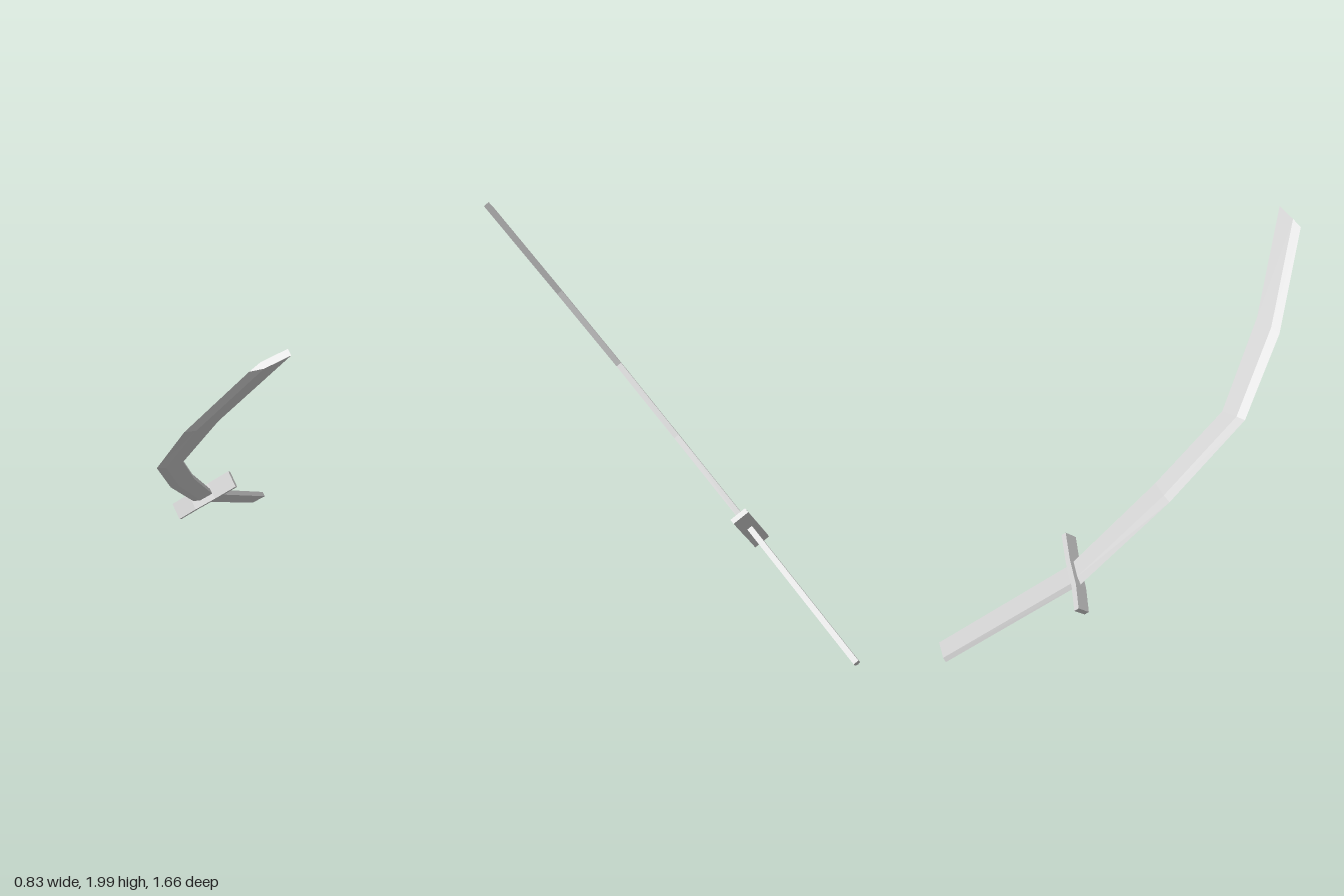
import * as THREE from 'three';

const material = new THREE.MeshStandardMaterial({ color: 0xcccccc, flatShading: true });

// Loft a wedge section (thick spine, two ridges, thin edge) through stations.
// Each station: [edgeX, edgeY, spineX, spineY]; ridge = share of width from spine to ridge.
function wedgeLoft(name, stations, thickness, ridge) {
  const h = thickness / 2, n = 5, positions = [], index = [];
  for (const [ex, ey, sx, sy] of stations) {
    const rx = sx + (ex - sx) * ridge, ry = sy + (ey - sy) * ridge;
    positions.push(sx, sy, h, rx, ry, h, ex, ey, 0, rx, ry, -h, sx, sy, -h);
  }
  const last = (stations.length - 1) * n;
  for (let i = 0; i < last; i += n) {
    for (let j = 0; j < n; j++) {
      const k = (j + 1) % n;
      index.push(i + j, i + n + j, i + k, i + k, i + n + j, i + n + k);
    }
  }
  // End caps
  for (let j = 1; j < n - 1; j++) {
    index.push(0, j, j + 1, last, last + j + 1, last + j);
  }
  const indexed = new THREE.BufferGeometry();
  indexed.setAttribute('position', new THREE.Float32BufferAttribute(positions, 3));
  indexed.setIndex(index);
  const geometry = indexed.toNonIndexed();
  geometry.computeVertexNormals();
  const mesh = new THREE.Mesh(geometry, material);
  mesh.name = name;
  return mesh;
}

// Thin strip across the sword whose arms bend opposite ways
function makeGuard() {
  const line = [[-0.17, -0.03], [-0.06, -0.005], [0.06, 0.005], [0.19, 0.028]];
  const t = 0.012, depth = 0.085;
  const outline = [
    ...line.map(([x, y]) => new THREE.Vector2(x, y - t)),
    ...line.map(([x, y]) => new THREE.Vector2(x, y + t)).reverse(),
  ];
  const geometry = new THREE.ExtrudeGeometry(new THREE.Shape(outline), { depth, bevelEnabled: false });
  geometry.translate(0, 0, -depth / 2);
  const mesh = new THREE.Mesh(geometry, material);
  mesh.name = 'guard';
  return mesh;
}

export function createModel() {
  const group = new THREE.Group();
  group.name = 'curvedSword';

  // Sword laid out flat: handle along y, edge towards -x, guard at the origin
  const sword = new THREE.Group();
  sword.name = 'sword';
  sword.add(
    wedgeLoft('handle', [[-0.05, -0.785, 0.05, -0.785], [-0.052, 0, 0.052, 0]], 0.027, 0.8),
    wedgeLoft('blade', [
      [-0.054, 0, 0.053, 0],
      [0.076, 0.545, 0.187, 0.52],
      [0.233, 1.006, 0.322, 0.932],
      [0.513, 1.305, 0.64, 1.251],
      [0.928, 1.6, 1.08, 1.562],
    ], 0.027, 0.67),
    makeGuard(),
  );

  // Tilt the flat layout into its leaning pose
  const along = new THREE.Vector3(-0.544, 0.583, 0.602).normalize();
  const across = along.clone().cross(new THREE.Vector3(0.208, -0.6, 0.773)).normalize();
  const facing = across.clone().cross(along);
  sword.applyMatrix4(new THREE.Matrix4().makeBasis(across, along, facing));
  sword.position.set(-0.058, 0.493, -0.344);
  group.add(sword);
  return group;
}
